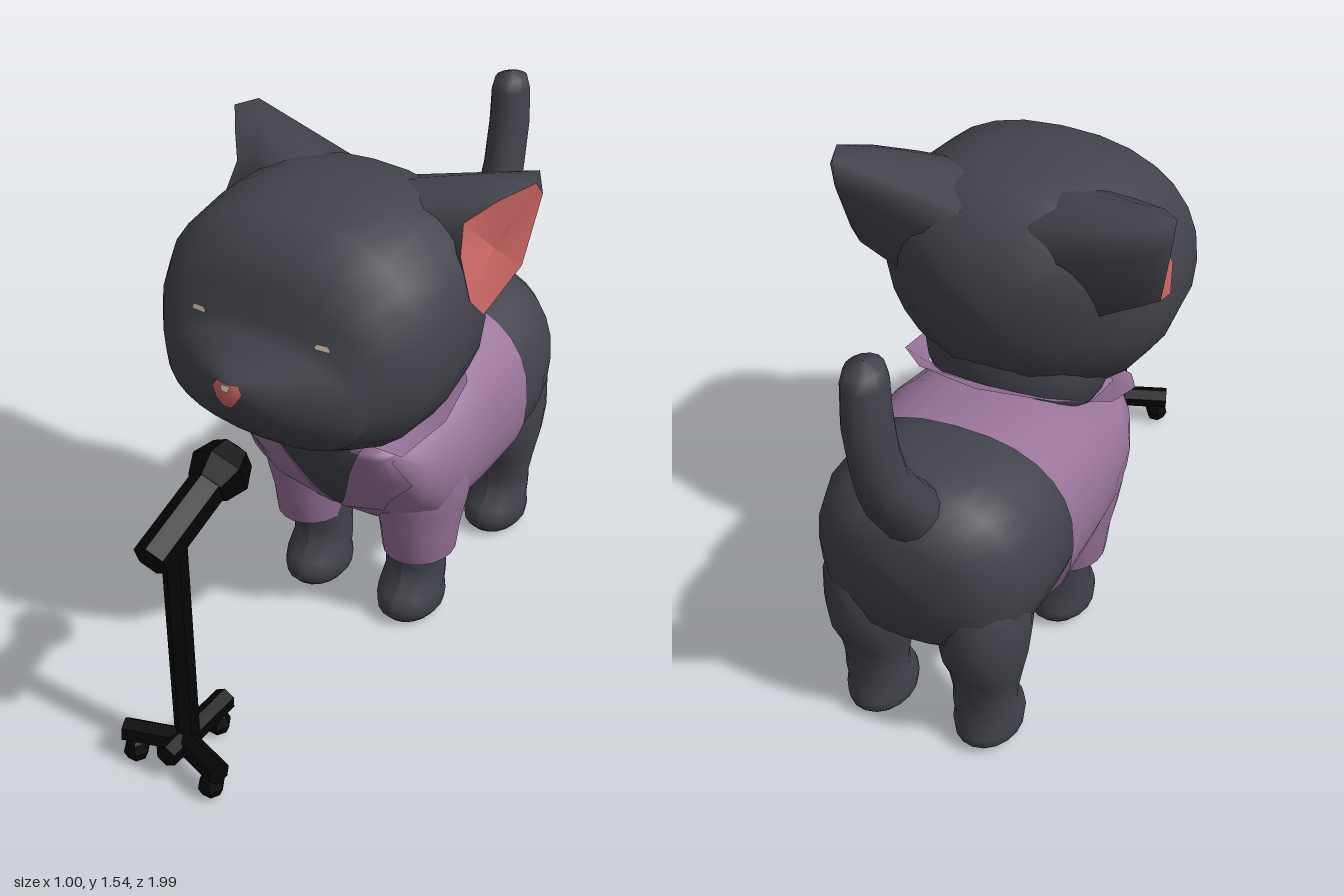
import * as THREE from 'three';

const paint = (name, color) => {
  const m = new THREE.MeshStandardMaterial({ color, side: THREE.DoubleSide });
  m.name = name;
  return m;
};
const V = (x, y, z) => new THREE.Vector3(x, y, z);

export function createModel() {
  const model = new THREE.Group();
  model.name = 'kittenWithMicrophone';
  const fur = paint('charcoalFur', 0x43444c);
  const cloth = paint('mauveCloth', 0x99749a);
  const pink = paint('pinkSkin', 0xcb6664);
  const cream = paint('cream', 0xdcc8bb);
  const black = paint('black', 0x050506);
  black.flatShading = true;

  const add = (name, geometry, material, x = 0, y = 0, z = 0) => {
    const mesh = new THREE.Mesh(geometry, material);
    mesh.name = name;
    mesh.position.set(x, y, z);
    model.add(mesh);
    return mesh;
  };

  // Surface through rows of points, optionally closed around each row
  const grid = (rows, closed = false) => {
    const n = rows[0].length, index = [];
    for (let i = 0; i < rows.length - 1; i++) {
      for (let j = 0; j < (closed ? n : n - 1); j++) {
        const k = (j + 1) % n;
        const a = i * n + j, b = i * n + k, c = a + n, d = b + n;
        index.push(a, c, b, b, c, d);
      }
    }
    const g = new THREE.BufferGeometry().setFromPoints(rows.flat());
    g.setIndex(index);
    g.computeVertexNormals();
    return g;
  };

  // Rounded cross-sections [z, bottom, top, halfWidth, tilt, egg] from front to back
  const loft = (sections, power, capFront, capBack, sides = 28) => {
    const bend = v => Math.sign(v) * Math.abs(v) ** (2 / power);
    const rows = sections.map(([z, lo, hi, w, tilt = 0, egg = 0]) => Array.from({ length: sides }, (_, j) => {
      const t = j / sides * Math.PI * 2;
      const dy = bend(Math.sin(t)) * (hi - lo) / 2;
      return V(bend(Math.cos(t)) * w * (1 + egg * Math.sin(t)), (lo + hi) / 2 + dy, z + tilt * dy);
    }));
    const cap = ([z, lo, hi], dz) => Array.from({ length: sides }, () => V(0, (lo + hi) / 2, z + dz));
    if (capFront) rows.unshift(cap(sections[0], 0.008));
    if (capBack) rows.push(cap(sections.at(-1), -0.008));
    return grid(rows, true);
  };

  // Thin plate laid on the front of a mesh, rows are [y, x0, x1]
  const ray = new THREE.Raycaster();
  const plate = (name, target, rows, material, lift, minZ = -1, cols = 8) => {
    const points = rows.map(([y, x0, x1]) => Array.from({ length: cols + 1 }, (_, j) => {
      const x = x0 + (x1 - x0) * j / cols;
      ray.set(V(x, y, 3), V(0, 0, -1));
      const hit = ray.intersectObject(target)[0];
      return V(x, y, Math.max(hit ? hit.point.z : minZ, minZ) + lift);
    }));
    return add(name, grid(points), material);
  };

  // Head and neck
  const head = add('head', loft([
    [0.61, 1.07, 1.14, 0.045], [0.57, 0.98, 1.165, 0.15], [0.5, 0.91, 1.215, 0.29],
    [0.468, 0.88, 1.25, 0.325], [0.45, 0.87, 1.34, 0.345], [0.4, 0.84, 1.43, 0.385], [0.31, 0.8, 1.495, 0.43],
    [0.15, 0.78, 1.53, 0.435], [0, 0.81, 1.52, 0.425, 0, 0.05], [-0.1, 0.86, 1.5, 0.37, 0, 0.12],
    [-0.2, 0.95, 1.43, 0.26, 0, 0.2], [-0.25, 1.07, 1.31, 0.12, 0, 0.2],
  ], 2.3, true, true), fur);
  const neck = add('neck', new THREE.SphereGeometry(1, 24, 16), fur, 0, 0.95, 0);
  neck.scale.set(0.285, 0.27, 0.225);

  // Face
  plate('nose', head, [[1.14, -0.034, 0.034], [1.12, -0.049, 0.049], [1.09, -0.032, 0.032], [1.068, -0.012, 0.012]], pink, 0.016, 0.59);
  plate('noseShine', head, [[1.138, -0.016, 0.016], [1.12, -0.01, 0.01]], cream, 0.02, 0.59);
  for (const s of [1, -1]) {
    plate('eye', head, [[1.241, s * 0.185, s * 0.215], [1.233, s * 0.175, s * 0.223], [1.225, s * 0.18, s * 0.222]], cream, 0.005);
  }

  // Ears: an outer shell from root to rim, with a hollow pink inside
  const earRoot = [[.16, 1.46, .08], [.22, 1.4, .08], [.27, 1.25, .06], [.27, 1.16, 0], [.22, 1.16, -.15], [.14, 1.36, -.2], [.1, 1.45, -.17], [.1, 1.49, -.03]];
  const earMid = [[.32, 1.485, .03], [.34, 1.38, .06], [.37, 1.26, .06], [.39, 1.2, 0], [.41, 1.28, -.175], [.455, 1.47, -.215], [.465, 1.542, -.2], [.37, 1.54, -.08]];
  const earRim = [[.37, 1.46, .045], [.385, 1.38, .082], [.425, 1.26, .092], [.44, 1.2, .04], [.465, 1.285, -.125], [.5, 1.5, -.155], [.495, 1.543, -.12], [.43, 1.51, -.03]];
  for (const s of [1, -1]) {
    const ring = pts => pts.map(([x, y, z]) => V(s * x, y, z));
    const rim = ring(earRim);
    const centre = V(s * 0.425, 1.37, -0.03);
    add('ear', grid([ring(earRoot), ring(earMid), rim], true), fur);
    add('innerEar', grid([rim, rim.map(() => centre)], true), pink);
  }

  // Body and jacket
  add('body', loft([
    [-0.25, 0.34, 0.91, 0.34], [-0.45, 0.33, 0.925, 0.342], [-0.6, 0.34, 0.948, 0.335],
    [-0.7, 0.36, 0.93, 0.305], [-0.78, 0.44, 0.88, 0.24], [-0.813, 0.56, 0.81, 0.14],
  ], 2.35, true, true), fur);
  const jacket = add('jacket', loft([
    [0.215, 0.69, 0.795, 0.18], [0.18, 0.6, 0.81, 0.26], [0.12, 0.47, 0.82, 0.315],
    [0.04, 0.38, 0.84, 0.345], [-0.1, 0.34, 0.88, 0.36], [-0.22, 0.32, 0.925, 0.36],
    [-0.442, 0.325, 0.94, 0.356, 0.02],
  ], 2.4, true, false), cloth);
  plate('chest', jacket, [[0.79, -0.18, 0.18], [0.72, -0.15, 0.15], [0.64, -0.115, 0.115], [0.56, -0.08, 0.08], [0.5, -0.055, 0.055], [0.43, -0.02, 0.02]], fur, 0.008, 0.08);
  for (const s of [1, -1]) {
    const rows = [[0.775, 0.17, 0.27], [0.75, 0.16, 0.275], [0.73, 0.15, 0.25], [0.64, 0.11, 0.295], [0.56, 0.08, 0.22], [0.5, 0.055, 0.19], [0.43, 0.01, 0.03]];
    plate('lapel', jacket, rows.map(([y, a, b]) => [y, s * a, s * b]), cloth, 0.014, 0.07);
  }

  // Collar folded outward around the neck
  const mirror = half => [...half.map(p => V(...p)), ...half.slice(0, -1).reverse().map(([x, y, z]) => V(-x, y, z))];
  add('collar', grid([
    mirror([[.17, .785, .225], [.26, .8, .1], [.26, .85, -.08], [.16, .91, -.19], [0, .935, -.23]]),
    mirror([[.285, .765, .2], [.345, .83, .06], [.33, .88, -.09], [.21, .945, -.235], [0, .98, -.31]]),
  ]), cloth);

  // Legs with long paws, narrow ankles and fuller thighs
  const leg = profile => {
    const foot = [[0, .003], [.078, .003], [.098, .03], [.102, .065], [.1, .1], [.097, .15], [.096, .2]];
    const g = new THREE.LatheGeometry([...foot, ...profile].map(p => new THREE.Vector2(...p)), 18);
    const p = g.attributes.position;
    for (let i = 0; i < p.count; i++) {
      const y = p.getY(i);
      const stretch = y < 0.09 ? 1.27 : y < 0.13 ? 1.15 : y < 0.3 ? 0.93 : 1.15;
      p.setZ(i, p.getZ(i) * stretch + (y < 0.13 ? 0.025 : 0));
    }
    g.computeVertexNormals();
    return g;
  };
  const frontProfile = [[.1, .28], [.095, .36], [.09, .5], [0, .6]];
  const backProfile = [[.11, .28], [.125, .36], [.135, .45], [.132, .55], [.1, .66], [0, .74]];
  for (const s of [1, -1]) {
    for (const [name, z, profile] of [['frontLeg', -0.085, frontProfile], ['backLeg', -0.645, backProfile]]) {
      add(name, leg(profile), fur, s * 0.175, 0, z);
      const pad = add('pawPad', new THREE.CircleGeometry(0.062, 12), pink, s * 0.175, 0, z + 0.025);
      pad.rotation.x = Math.PI / 2;
    }
    const cuff = [[.1, .262], [.112, .26], [.123, .36], [.142, .45], [.156, .54], [.15, .63], [.11, .72], [0, .77]].map(p => new THREE.Vector2(...p));
    const sleeve = add('sleeve', new THREE.LatheGeometry(cuff, 20), cloth, s * 0.198, 0, -0.065);
    sleeve.scale.z = 1.12;
  }

  // Tail, broad at the root with a rounded tip: [y, z, depth radius, width radius]
  const tail = [[.86, -.72, .09, .095], [.97, -.805, .08, .09], [1.08, -.865, .077, .068], [1.18, -.895, .077, .062], [1.32, -.918, .079, .06], [1.43, -.916, .07, .058], [1.47, -.915, .058, .048], [1.487, -.915, .001, .001]];
  add('tail', grid(tail.map(([y, z, depth, width], i) => {
    const [a, b] = [tail[Math.max(i - 1, 0)], tail[Math.min(i + 1, 5)]];
    const lean = i > 4 ? 0 : Math.atan2(a[1] - b[1], b[0] - a[0]);
    return Array.from({ length: 14 }, (_, j) => {
      const t = j / 14 * Math.PI * 2, d = Math.sin(t) * depth;
      return V(Math.cos(t) * width, y + d * Math.sin(lean), z + d * Math.cos(lean));
    });
  }), true), fur);

  // Microphone on a three-footed stand
  const rod = (name, from, to, radius) => {
    const dir = to.clone().sub(from);
    const mesh = add(name, new THREE.CylinderGeometry(radius, radius, dir.length(), 6), black);
    mesh.position.copy(from).addScaledVector(dir, 0.5);
    mesh.quaternion.setFromUnitVectors(V(0, 1, 0), dir.normalize());
  };
  rod('standPole', V(0, 0.07, 0.88), V(0, 0.82, 0.88), 0.036);
  rod('standBoom', V(0, 0.785, 0.975), V(0, 0.89, 0.68), 0.055);
  const mic = add('microphone', new THREE.SphereGeometry(0.088, 6, 4).rotateY(Math.PI / 6), black, 0, 0.89, 0.668);
  mic.rotation.x = -1.2;
  for (const [x, z] of [[0.165, 0.955], [-0.165, 0.955], [0, 0.7]]) {
    rod('standFoot', V(0, 0.1, 0.9), V(x, 0.1, z), 0.036);
    add('caster', new THREE.SphereGeometry(0.04, 6, 4), black, x * 0.8, 0.04, x ? 0.95 : 0.74);
  }
  rod('standHub', V(0, 0.1, 0.98), V(0, 0.1, 0.85), 0.036);
  return model;
}
